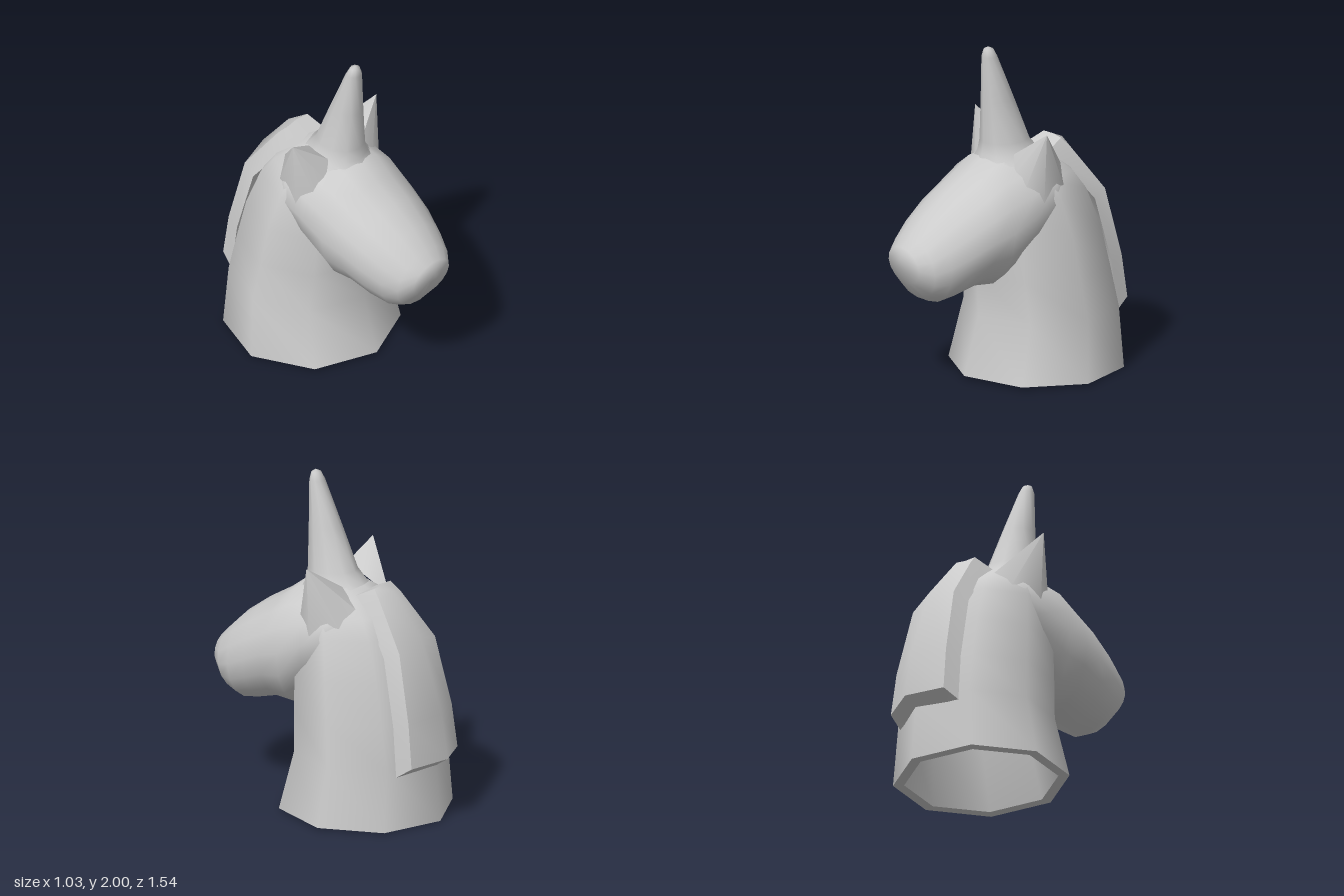
import * as THREE from 'three';
import { mergeVertices, toCreasedNormals } from 'three/addons/utils/BufferGeometryUtils.js';

// Skin a list of closed rings (arrays of [x, y, z]) into one surface
function loft(rings) {
  const n = rings[0].length, index = [];
  for (let j = 0; j < rings.length - 1; j++) {
    for (let i = 0; i < n; i++) {
      const a = j * n + i, b = j * n + (i + 1) % n;
      index.push(a, b, a + n, b, b + n, a + n);
    }
  }
  let g = new THREE.BufferGeometry();
  g.setAttribute('position', new THREE.Float32BufferAttribute(rings.flat(2), 3));
  g.setIndex(index);
  g = mergeVertices(g, 1e-4);
  g.computeVertexNormals();
  return g;
}

// Elliptical ring spanning two opposite points (z, y) with half width w
function ring([z1, y1, z2, y2, w], n) {
  return Array.from({ length: n }, (_, i) => {
    const a = (i / n) * Math.PI * 2, c = Math.cos(a) / 2;
    return [w * Math.sin(a), (y1 + y2) / 2 + (y1 - y2) * c, (z1 + z2) / 2 + (z1 - z2) * c];
  });
}

export function createModel() {
  const group = new THREE.Group();
  const smooth = new THREE.MeshStandardMaterial({ color: 0xcccccc });
  const flat = new THREE.MeshStandardMaterial({ color: 0xcccccc, flatShading: true });
  const add = (name, geometry, material) => {
    const mesh = new THREE.Mesh(geometry, material);
    mesh.name = name;
    group.add(mesh);
  };

  // Neck: eight-sided sections [front z, front y, back z, back y, half width]
  const neck = [
    [0.31, 0.02, -0.72, 0, 0.515], [0.21, 0.37, -0.69, 0.37, 0.465], [0.22, 0.62, -0.64, 0.62, 0.43],
    [0.22, 0.87, -0.58, 0.87, 0.40], [0.22, 1.1, -0.49, 1.1, 0.345], [0.22, 1.21, -0.41, 1.21, 0.29],
    [0.2, 1.3, -0.29, 1.3, 0.215], [0.17, 1.35, -0.19, 1.35, 0.15], [0, 1.36, 0, 1.36, 0],
  ];
  add('neck', loft(neck.map((s) => ring(s, 8))), smooth);

  // Hollow inside of the neck and its flat bottom rim
  const wall = 0.065;
  const inner = neck.slice(0, 5).map(([zf, yf, zb, yb, w]) => ring([zf - wall, yf, zb + wall, yb, w - wall], 8));
  add('neckCavity', loft([ring([-0.15, 1.15, -0.15, 1.15, 0], 8), ...inner.slice().reverse()]), smooth);
  add('neckRim', loft([inner[0], ring(neck[0], 8)]), flat);

  // Head: sections from muzzle to skull [top z, top y, chin z, chin y, half width]
  const head = [
    [0.772, 0.82, 0.772, 0.82, 0], [0.768, 0.86, 0.768, 0.77, 0.06], [0.755, 0.89, 0.73, 0.67, 0.15],
    [0.70, 0.95, 0.65, 0.57, 0.215], [0.60, 1.05, 0.57, 0.53, 0.26], [0.45, 1.16, 0.46, 0.55, 0.305],
    [0.30, 1.25, 0.33, 0.585, 0.33], [0.18, 1.34, 0.2, 0.57, 0.345], [0.02, 1.36, 0.04, 0.7, 0.345],
    [-0.14, 1.34, -0.12, 0.82, 0.335], [-0.26, 1.25, -0.24, 0.9, 0.26], [-0.3, 1.05, -0.3, 1.05, 0],
  ];
  add('head', loft(head.map((s) => ring(s, 16))), smooth);

  // Horn: flared base, upright front, sloping back [front z, back z, y, half width]
  const horn = [
    [0.21, -0.24, 1.3, 0.2], [0.185, -0.19, 1.35, 0.16], [0.175, -0.13, 1.42, 0.13],
    [0.175, -0.03, 1.67, 0.088], [0.175, 0.085, 1.94, 0.049], [0.165, 0.108, 1.985, 0.03],
    [0.14, 0.14, 2.0, 0],
  ];
  add('horn', loft(horn.map(([f, b, y, w]) => ring([f, y, b, y, w], 10))), smooth);

  // Ears: faceted points whose backs run into the neck, mirrored left and right
  const earBase = [
    [0.14, 1.36, 0.06], [0.2, 1.26, 0.09], [0.27, 1.17, 0.075], [0.33, 1.1, -0.025],
    [0.27, 1.12, -0.22], [0.17, 1.25, -0.26], [0.12, 1.36, -0.12],
  ];
  for (const side of [1, -1]) {
    const base = earBase.map(([x, y, z]) => [x * side, y, z]);
    if (side < 0) base.reverse();
    const tip = base.map(() => [0.355 * side, 1.52, -0.025]);
    add(side > 0 ? 'leftEar' : 'rightEar', toCreasedNormals(loft([base, tip]), 0.9), smooth);
  }

  // Mane: ridged slab [half width, inner z, inner y, outer z, outer y, ridge z, ridge y]
  const mane = [
    [0.10, -0.21, 1.32, -0.32, 1.375, -0.325, 1.38], [0.125, -0.29, 1.25, -0.37, 1.32, -0.39, 1.35],
    [0.205, -0.47, 1.01, -0.56, 1.05, -0.59, 1.10], [0.245, -0.56, 0.62, -0.65, 0.64, -0.73, 0.66],
    [0.26, -0.59, 0.32, -0.68, 0.38, -0.77, 0.39],
  ].map(([w, iz, iy, oz, oy, rz, ry]) => [
    [-w - 0.01, iy, iz], [-w + 0.015, oy, oz], [0, ry, rz], [w - 0.015, oy, oz], [w + 0.01, iy, iz],
    [0, ry + iy - oy, rz + iz - oz],
  ]);
  const cap = (r) => r.map(() => r[5]);
  add('mane', toCreasedNormals(loft([cap(mane[0]), ...mane, cap(mane[4])]), 0.8), smooth);

  return group;
}
